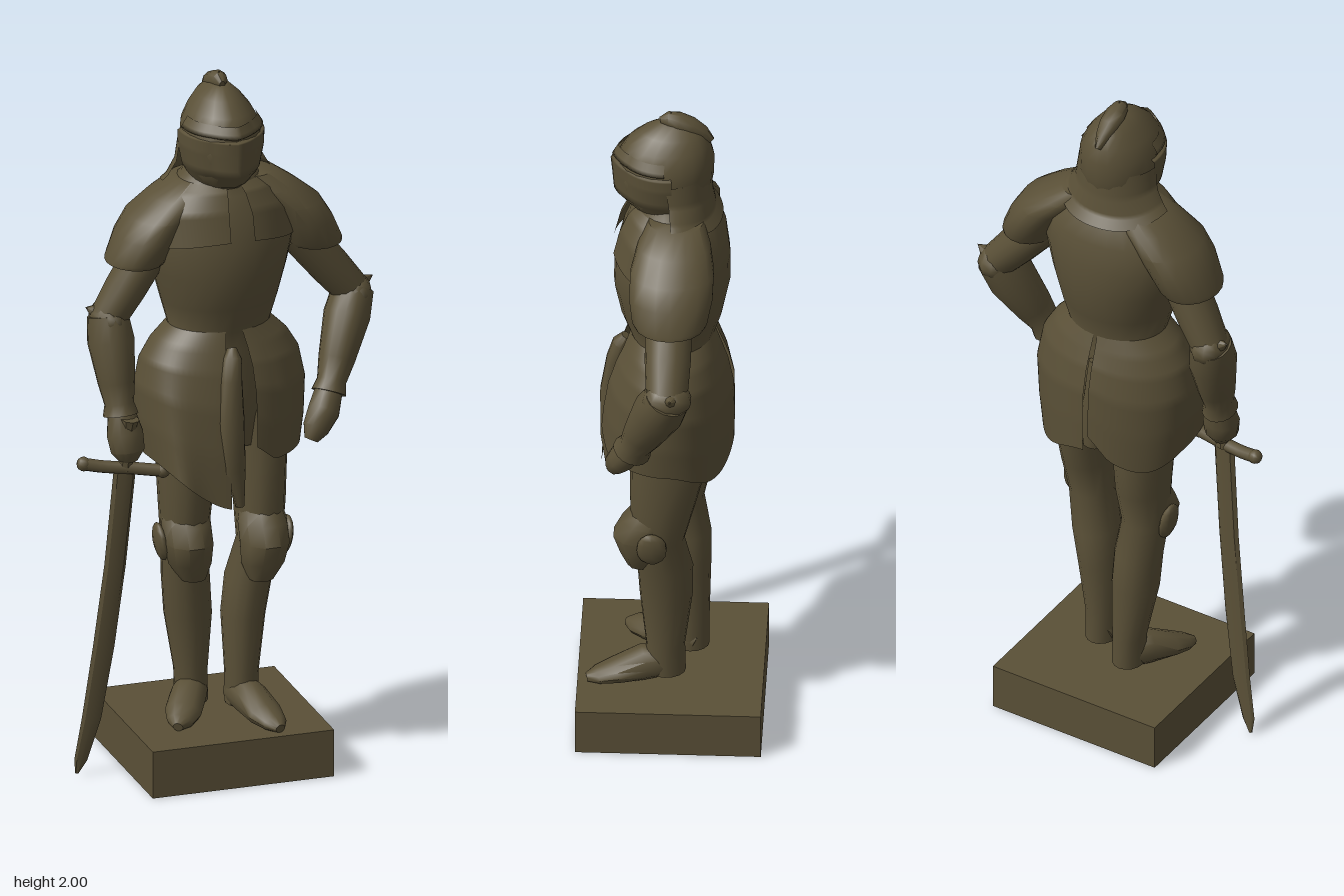
import * as THREE from 'three';
import { toCreasedNormals } from 'three/addons/utils/BufferGeometryUtils.js';
import { ParametricGeometry } from 'three/addons/geometries/ParametricGeometry.js';

const bronze = new THREE.MeshStandardMaterial({ color: 0x5a5037, side: THREE.DoubleSide });
bronze.name = 'dark bronze';
const CX = -0.015; // body axis
const V = (x, y, z) => new THREE.Vector3(x, y, z);
const lerp = THREE.MathUtils.lerp;

// Closed body through elliptical rings [x, y, z, halfWidth, halfDepth]; rings follow the path unless flat.
function loft(rings, { flat = false, sides = 16, crease = 0.75 } = {}) {
  const pos = [], idx = [], last = rings.length - 1;
  const at = i => V(rings[i][0], rings[i][1], rings[i][2]);
  rings.forEach((r, i) => {
    const n = flat ? V(0, 1, 0) : at(Math.min(i + 1, last)).sub(at(Math.max(i - 1, 0))).normalize();
    const u = V(1, 0, 0).addScaledVector(n, -n.x).normalize();
    const v = u.clone().cross(n);
    for (let j = 0; j < sides; j++) {
      const a = j / sides * Math.PI * 2;
      pos.push(...at(i).addScaledVector(u, r[3] * Math.cos(a)).addScaledVector(v, r[4] * Math.sin(a)));
    }
  });
  for (let i = 0; i < last; i++) for (let j = 0; j < sides; j++) {
    const a = i * sides + j, b = i * sides + (j + 1) % sides, c = a + sides, d = b + sides;
    idx.push(a, c, b, b, c, d);
  }
  const base = pos.length / 3;
  pos.push(...at(0), ...at(last));
  for (let j = 0; j < sides; j++) {
    const k = (j + 1) % sides;
    idx.push(base, j, k, base + 1, last * sides + k, last * sides + j);
  }
  const g = new THREE.BufferGeometry();
  g.setAttribute('position', new THREE.Float32BufferAttribute(pos, 3));
  g.setIndex(idx);
  return toCreasedNormals(g, crease);
}

// Thin curved plate: angle a0..a1 in degrees (90 = front), rows [y, rx, rz, cz]; shape() may adjust the point.
function plate(a0, a1, rows, shape = () => {}, slices = 24, stacks = 12) {
  return new ParametricGeometry((u, v, p) => {
    const f = v * (rows.length - 1), i = Math.min(Math.floor(f), rows.length - 2);
    const r = rows[i].map((q, k) => lerp(q, rows[i + 1][k], f - i));
    const deg = lerp(a1, a0, u), a = THREE.MathUtils.degToRad(deg);
    p.set(CX + r[1] * Math.cos(a), r[0], r[3] + r[2] * Math.sin(a));
    shape(p, deg, v);
  }, slices, stacks);
}

export function createModel() {
  const model = new THREE.Group();
  model.name = 'armouredFigure';
  const add = (name, geo, parent = model) => {
    const m = new THREE.Mesh(geo, bronze);
    m.name = name;
    parent.add(m);
    return m;
  };

  // Plinth
  add('plinth', new THREE.BoxGeometry(0.52, 0.135, 0.505)).position.set(-0.03, 0.0725, -0.002);

  // Torso: narrow waist, swelling breastplate, sloping shoulders
  add('cuirass', loft([
    [CX, 0.93, 0, 0.14, 0.09], [CX, 1.1, -0.01, 0.19, 0.12], [CX, 1.22, -0.008, 0.165, 0.115],
    [CX, 1.275, -0.005, 0.142, 0.115], [CX, 1.35, -0.003, 0.163, 0.14], [CX, 1.44, -0.003, 0.187, 0.158],
    [CX, 1.53, -0.005, 0.21, 0.157], [CX, 1.61, -0.01, 0.2, 0.142], [CX, 1.67, -0.01, 0.15, 0.12],
    [CX, 1.71, -0.01, 0.1, 0.095], [CX, 1.78, 0, 0.075, 0.075]], { flat: true, sides: 24 }));
  // Raised plates over the upper chest, lower edges rising to the middle
  for (const s of [-1, 1]) {
    add('chestPlate', plate(90 - s * 82, 90 - s * (s > 0 ? 14 : 5), [
      [1.53, 0.212, 0.161, -0.002], [1.61, 0.205, 0.148, -0.006], [1.67, 0.158, 0.126, -0.008], [1.7, 0.115, 0.1, -0.008]],
      (p, d, v) => { p.y += 0.025 * (1 - v) * Math.abs(Math.sin(d * Math.PI / 180)) ** 3; }, 12, 9));
  }

  // Helmet: skull, pointed visor, neck guard and plume holder
  const helmet = new THREE.Group();
  helmet.name = 'helmet';
  model.add(helmet);
  add('skull', loft([
    [CX, 1.69, 0.01, 0.07, 0.09], [CX, 1.73, 0.015, 0.098, 0.12], [CX, 1.8, 0.015, 0.112, 0.132],
    [CX, 1.86, 0.012, 0.106, 0.13], [CX, 1.9, 0.006, 0.085, 0.113], [CX, 1.935, -0.004, 0.058, 0.085],
    [CX, 1.965, -0.01, 0.025, 0.045]], { flat: true, sides: 20, crease: 1 }), helmet);
  const ridge = (p, d) => { p.z += 0.018 * Math.max(0, 1 - Math.abs(d - 90) / 35); };
  add('visor', plate(-8, 188, [
    [1.7, 0.082, 0.09, 0.012], [1.74, 0.105, 0.125, 0.012], [1.8, 0.117, 0.13, 0.012],
    [1.84, 0.118, 0.134, 0.012], [1.845, 0.106, 0.118, 0.012]], ridge, 28, 12), helmet);
  add('visorBrow', plate(0, 180, [
    [1.85, 0.106, 0.12, 0.014], [1.855, 0.114, 0.128, 0.014], [1.885, 0.095, 0.112, 0.014]], ridge, 24, 6), helmet);
  add('neckGuard', plate(180, 360, [
    [1.665, 0.16, 0.135, -0.008], [1.69, 0.145, 0.12, -0.004], [1.74, 0.122, 0.115, 0], [1.82, 0.114, 0.118, 0.01]],
    (p, d, v) => { p.y += 0.03 * (1 - v) * Math.abs(Math.cos(d * Math.PI / 180)) ** 4; }), helmet);
  add('plumeHolder', loft([
    [CX, 1.905, -0.108, 0.008, 0.012], [CX, 1.932, -0.085, 0.02, 0.02], [CX, 1.952, -0.055, 0.028, 0.025],
    [CX, 1.965, -0.02, 0.03, 0.028], [CX, 1.972, 0.008, 0.022, 0.024], [CX, 1.967, 0.028, 0.008, 0.012]],
    { sides: 10 }), helmet);
  add('helmetTip', new THREE.ConeGeometry(0.018, 0.05, 8), helmet).position.set(CX, 1.975, 0);

  // Shoulder caps, flaring at the hem
  for (const s of [-1, 1]) {
    add('pauldron', loft([
      [s * 0.252, 1.5, -0.008, 0.05, 0.06], [s * 0.255, 1.477, -0.008, 0.08, 0.096],
      [s * 0.25, 1.488, -0.008, 0.083, 0.103], [s * 0.222, 1.55, -0.01, 0.085, 0.115],
      [s * 0.185, 1.605, -0.012, 0.088, 0.115], [s * 0.13, 1.655, -0.015, 0.08, 0.1],
      [s * 0.08, 1.7, -0.018, 0.065, 0.075]], { flat: true, sides: 18 }));
  }

  // Arms: the left hand rests on the hip, the right holds the sword
  const arms = {
    left: {
      shoulder: [0.205, 1.51, -0.005], elbow: [0.37, 1.31, -0.005], wrist: [0.272, 1.07, 0.09],
      hand: [[0.2, 0.95, 0.145, 0.02, 0.018], [0.215, 0.98, 0.14, 0.038, 0.03],
        [0.245, 1.02, 0.12, 0.045, 0.038], [0.272, 1.075, 0.09, 0.038, 0.036]],
    },
    right: {
      shoulder: [-0.205, 1.52, -0.005], elbow: [-0.325, 1.31, -0.025], wrist: [-0.312, 1.06, 0.04],
      hand: [[-0.298, 0.925, 0.07, 0.025, 0.025], [-0.3, 0.955, 0.068, 0.048, 0.045],
        [-0.305, 1.0, 0.06, 0.052, 0.045], [-0.31, 1.07, 0.04, 0.036, 0.036]],
    },
  };
  for (const [side, { shoulder, elbow, wrist, hand }] of Object.entries(arms)) {
    const g = new THREE.Group(), s = side === 'left' ? 1 : -1;
    g.name = side + 'Arm';
    model.add(g);
    const along = (a, b, t, r) => [...a.map((q, i) => lerp(q, b[i], t)), r, r * 1.12];
    add('upperArm', loft([along(elbow, shoulder, 0, 0.05), along(elbow, shoulder, 0.4, 0.056), along(elbow, shoulder, 1, 0.058)]), g);
    add('forearm', loft([along(wrist, elbow, -0.04, 0.048), along(wrist, elbow, 0.08, 0.04), along(wrist, elbow, 0.3, 0.05),
      along(wrist, elbow, 0.75, 0.064), along(wrist, elbow, 1.03, 0.056)]), g);
    const cop = add('elbowGuard', new THREE.SphereGeometry(0.058, 10, 8), g);
    cop.scale.set(0.9, 0.85, 1.2);
    cop.position.set(...elbow);
    const point = add('elbowPoint', new THREE.ConeGeometry(0.05, 0.075, 8), g);
    point.position.set(elbow[0] + s * 0.028, elbow[1] + 0.016, elbow[2] - 0.01);
    point.rotation.z = -s * 1.1;
    add('gauntlet', loft(hand, { sides: 12 }), g);
  }

  // Sword: grip, guard and slightly curved blade
  const sword = new THREE.Group();
  sword.name = 'sword';
  model.add(sword);
  add('blade', loft([
    [-0.428, 0.01, 0.015, 0.005, 0.004], [-0.418, 0.05, 0.02, 0.019, 0.007], [-0.39, 0.17, 0.028, 0.028, 0.009],
    [-0.36, 0.38, 0.042, 0.031, 0.011], [-0.332, 0.62, 0.056, 0.031, 0.012], [-0.308, 0.91, 0.07, 0.032, 0.014]],
    { sides: 8, crease: 0.4 }), sword);
  const guardPath = new THREE.CatmullRomCurve3([V(-0.42, 0.922, 0.05), V(-0.37, 0.912, 0.06), V(-0.3, 0.905, 0.075), V(-0.21, 0.895, 0.1)]);
  add('crossGuard', new THREE.TubeGeometry(guardPath, 10, 0.018, 8), sword);
  for (const t of [0, 1]) add('guardEnd', new THREE.SphereGeometry(0.02, 10, 8), sword).position.copy(guardPath.getPoint(t));
  add('grip', loft([[-0.308, 0.9, 0.07, 0.02, 0.02], [-0.3, 1.02, 0.08, 0.018, 0.018], [-0.298, 1.05, 0.083, 0.026, 0.026]], { sides: 8 }), sword);

  // Flared skirt: two wrapped panels with a front opening and a rear slit
  const flare = [[0.92, 0.222, 0.176, 0.003], [1.0, 0.234, 0.176, 0.002], [1.1, 0.24, 0.17, -0.002],
    [1.18, 0.224, 0.152, -0.004], [1.23, 0.194, 0.134, -0.005], [1.28, 0.143, 0.116, -0.005]];
  const hem = (open, point, bulge) => (p, d, v) => {
    const low = (1 - v) ** 2, a = d * Math.PI / 180, front = Math.max(0, Math.sin(a));
    const rearSide = Math.sin(a) < 0 ? Math.sin(2 * a) ** 2 : 0;
    p.z += low * (0.012 * front + bulge * Math.exp(-(((d - 140) / 20) ** 2)));
    p.y += low * (0.05 * Math.max(0, 1 - Math.abs(d - open) / 16) - point * front ** 3 - 0.045 * rearSide);
  };
  add('skirtLeft', plate(-88, 78, flare, hem(78, 0.005, 0), 36, 15));
  add('skirtRight', plate(97, 268, flare, hem(268, 0.13, 0.05), 36, 15));
  add('frontFold', loft([
    [-0.01, 0.79, 0.165, 0.012, 0.01], [-0.03, 0.9, 0.175, 0.032, 0.018], [-0.035, 1.04, 0.172, 0.035, 0.022],
    [-0.03, 1.15, 0.152, 0.03, 0.025], [-0.022, 1.21, 0.136, 0.026, 0.024], [-0.02, 1.235, 0.122, 0.014, 0.014]], { sides: 10 }));
  add('rearFold', loft([
    [CX, 0.92, -0.145, 0.025, 0.012], [CX, 1.0, -0.15, 0.03, 0.014], [CX, 1.2, -0.13, 0.015, 0.012]], { sides: 8 }));

  // Legs: left stands forward, right stands back with the foot turned out
  const legs = {
    left: {
      dz: 0, toe: [0.085, 0.225], ankle: [0.045, 0.03],
      bones: [[0.045, 0.16, 0.012, 0.045, 0.055], [0.045, 0.25, 0.012, 0.046, 0.053], [0.05, 0.42, 0.01, 0.06, 0.072],
        [0.065, 0.53, 0.012, 0.064, 0.076], [0.09, 0.64, 0.03, 0.062, 0.072], [0.094, 0.75, 0.018, 0.07, 0.088],
        [0.098, 0.9, 0, 0.075, 0.106], [0.09, 1.05, -0.005, 0.085, 0.1]],
    },
    right: {
      dz: -0.01, toe: [-0.175, 0.125], ankle: [-0.085, -0.035],
      bones: [[-0.078, 0.16, -0.05, 0.045, 0.052], [-0.08, 0.25, -0.05, 0.046, 0.052], [-0.092, 0.42, -0.038, 0.066, 0.068],
        [-0.1, 0.53, -0.034, 0.066, 0.072], [-0.11, 0.64, -0.015, 0.064, 0.072], [-0.106, 0.75, -0.02, 0.072, 0.09],
        [-0.106, 0.9, -0.018, 0.08, 0.106], [-0.1, 1.05, -0.01, 0.085, 0.1]],
    },
  };
  for (const [side, { dz, toe, ankle, bones }] of Object.entries(legs)) {
    const g = new THREE.Group(), s = side === 'left' ? 1 : -1;
    g.name = side + 'Leg';
    model.add(g);
    add('legArmour', loft(bones, { flat: true }), g);
    // Knee cap, pointed and flaring over the shin, with a side wing
    const kx = bones[4][0], kz = bones[4][2] + dz;
    add('kneeGuard', loft([
      [kx - s * 0.012, 0.54, kz + 0.05, 0.035, 0.035], [kx - s * 0.005, 0.59, kz + 0.045, 0.062, 0.06],
      [kx, 0.65, kz + 0.045, 0.07, 0.08], [kx, 0.7, kz + 0.025, 0.07, 0.075], [kx, 0.735, kz + 0.01, 0.06, 0.062]],
      { flat: true, sides: 10 }), g);
    const wing = add('kneeWing', new THREE.SphereGeometry(0.05, 10, 8), g);
    wing.scale.set(0.35, 1.1, 0.85);
    wing.rotation.z = -s * 0.15;
    wing.position.set(kx + s * 0.07, 0.645, kz + 0.015);
    // Pointed foot
    const foot = (t, y, w, h) => [lerp(ankle[0], toe[0], t), y, lerp(ankle[1], toe[1], t), w, h];
    add('foot', loft([foot(-0.25, 0.18, 0.035, 0.035), foot(-0.1, 0.19, 0.045, 0.048), foot(0.2, 0.187, 0.05, 0.05),
      foot(0.6, 0.168, 0.05, 0.032), foot(0.85, 0.158, 0.036, 0.022), foot(1, 0.152, 0.014, 0.012)], { sides: 12 }), g);
  }

  return model;
}
